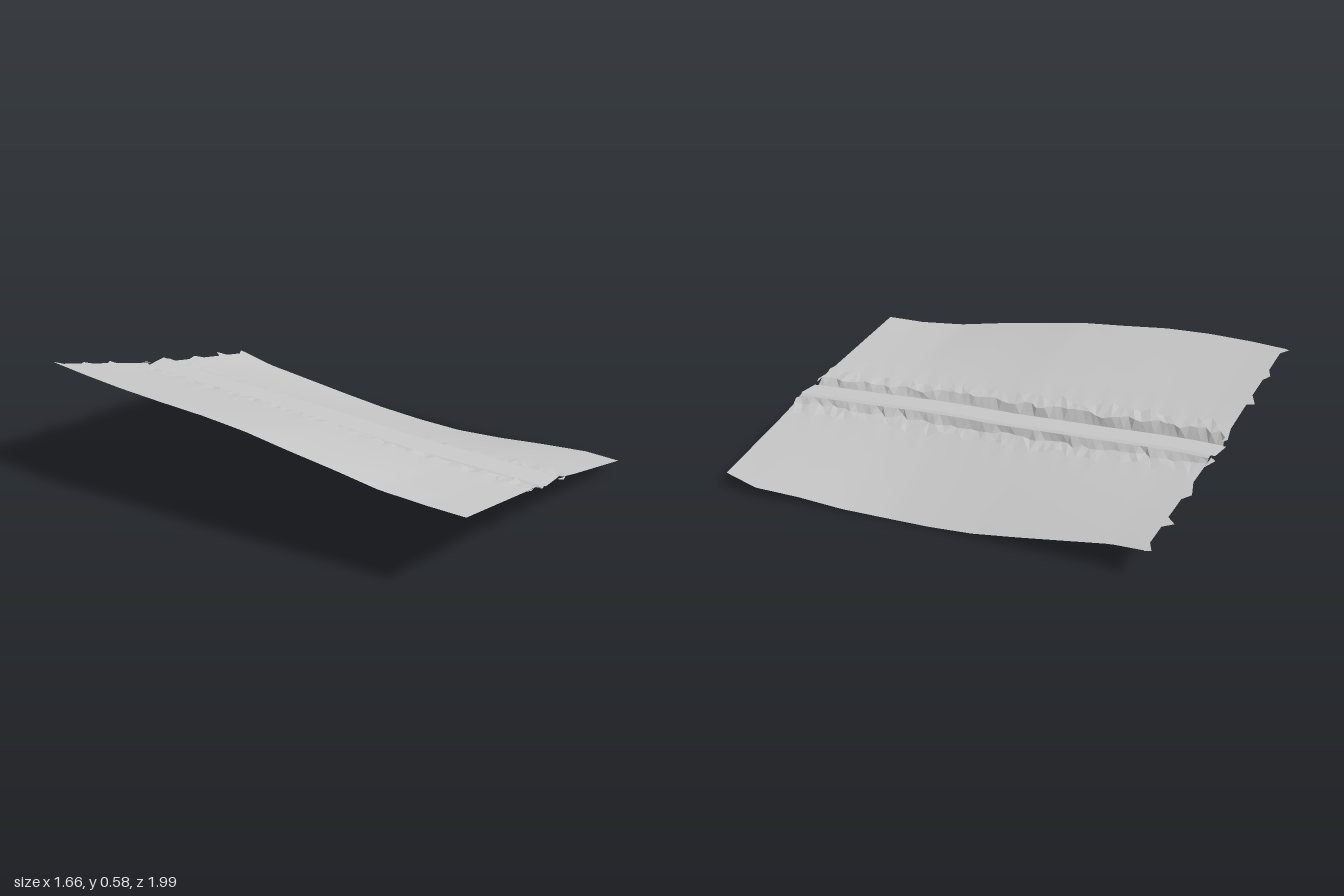
import * as THREE from 'three';

// Plan and height outlines sampled every 0.2 from back (z = -1) to front (z = 1)
const outline = {
  leftX: [-0.835, -0.815, -0.785, -0.74, -0.68, -0.63, -0.58, -0.525, -0.47, -0.41, -0.36],
  leftY: [0.58, 0.578, 0.573, 0.563, 0.545, 0.525, 0.49, 0.455, 0.415, 0.397, 0.394],
  rightX: [0.35, 0.37, 0.425, 0.48, 0.535, 0.585, 0.635, 0.7, 0.76, 0.825, 0.83],
  rightY: [0.13, 0.105, 0.075, 0.045, 0.018, 0.005, 0.002, 0.01, 0.03, 0.042, 0.066],
  roadX: [-0.24, -0.21, -0.16, -0.105, -0.055, -0.002, 0.037, 0.085, 0.145, 0.202, 0.26],
};
const HALF_ROAD = 0.05, BACK = -0.955, FRONT = 0.973, ROWS = 56;

function sample(name, z) {
  const t = THREE.MathUtils.clamp((z + 1) * 5, 0, 9.9999);
  const i = Math.floor(t);
  return THREE.MathUtils.lerp(outline[name][i], outline[name][i + 1], t - i);
}
const roadHeight = (z) => 0.2875 - 0.0385 * z;

// Natural hillside: straight from the road centre to either outer edge
function hillHeight(x, z) {
  const c = sample('roadX', z);
  const side = x < c ? 'left' : 'right';
  const t = (x - c) / (sample(side + 'X', z) - c);
  return THREE.MathUtils.lerp(roadHeight(z), sample(side + 'Y', z), t);
}

function seeded(seed) {
  return () => {
    seed = (seed * 16807) % 2147483647;
    return seed / 2147483647;
  };
}

// Skin a list of rows (back to front), each running from -x to +x
function skin(rows, flat) {
  const n = rows[0].length, index = [];
  for (let j = 0; j < rows.length - 1; j++) {
    for (let i = 0; i < n - 1; i++) {
      const a = j * n + i, b = a + n;
      index.push(a, b, a + 1, a + 1, b, b + 1);
    }
  }
  let g = new THREE.BufferGeometry();
  g.setAttribute('position', new THREE.Float32BufferAttribute(rows.flat(2), 3));
  g.setIndex(index);
  if (flat) g = g.toNonIndexed();
  g.computeVertexNormals();
  return g;
}

export function createModel() {
  const group = new THREE.Group();
  const grey = new THREE.MeshStandardMaterial({ color: 0xc8c8c8, side: THREE.DoubleSide });
  grey.name = 'plain grey';
  const add = (name, geometry) => {
    const mesh = new THREE.Mesh(geometry, grey);
    mesh.name = name;
    group.add(mesh);
  };
  const rowZ = Array.from({ length: ROWS + 1 }, (_, j) => BACK + ((FRONT - BACK) * j) / ROWS);

  // Hillsides and rough banks on both sides of the road
  for (const s of [-1, 1]) {
    const side = s < 0 ? 'left' : 'right';
    const rand = seeded(s < 0 ? 71 : 423);
    const slope = [], bank = [];
    rowZ.forEach((z, j) => {
      const edge = sample('roadX', z) + s * HALF_ROAD;
      const end = sample(side + 'X', z);
      const y = roadHeight(z);
      const toe = [edge + s * 0.016, y - 0.007, z];
      const mx = edge + s * (0.026 + 0.03 * rand());
      const mid = [mx, hillHeight(mx, z) + 0.008 * (rand() - 0.5), z];
      const ox = edge + s * (0.07 + 0.05 * rand());
      const outer = [ox, hillHeight(ox, z) + (j % 3 ? 0.004 : -0.004) * rand(), z];
      const b = [[edge, y, z], toe, mid, outer];
      const h = [outer];
      for (let i = 1; i <= 8; i++) {
        const x = THREE.MathUtils.lerp(ox, end, i / 8);
        h.push([x, hillHeight(x, z), z]);
      }
      bank.push(s < 0 ? b.reverse() : b);
      slope.push(s < 0 ? h.reverse() : h);
    });
    add(side + 'Hillside', skin(slope, false));
    add(side + 'Bank', skin(bank, true));
  }

  // Level road, running slightly past the hillside at both ends
  const road = [-0.975, ...rowZ, 0.98].map((z) =>
    [-1, 0, 1].map((k) => [sample('roadX', z) + k * HALF_ROAD, roadHeight(z), z]));
  add('road', skin(road, false));

  // Ragged end teeth: [start x, tip x, end x, tip z]
  const backTeeth = [
    [-0.832, -0.83, -0.8, -0.985], [-0.7, -0.67, -0.64, -0.977], [-0.55, -0.51, -0.495, -0.988],
    [-0.36, -0.3, -0.28, -0.973], [-0.19, -0.18, -0.13, -0.982], [-0.04, 0.025, 0.06, -0.986],
    [0.165, 0.19, 0.22, -1], [0.31, 0.348, 0.357, -0.985],
  ];
  const frontTeeth = [
    [0.06, 0.09, 0.12, 0.982], [0.13, 0.17, 0.2, 0.984], [0.3, 0.325, 0.37, 0.993],
  ];
  const points = [];
  const corner = (x, z) => points.push(x, hillHeight(x, z), z);
  for (const [a, tip, b, z] of backTeeth) {
    corner(a, BACK); corner(b, BACK); corner(tip, z);
  }
  for (const [a, tip, b, z] of frontTeeth) {
    corner(a, FRONT); corner(tip, z); corner(b, FRONT);
  }
  const teeth = new THREE.BufferGeometry();
  teeth.setAttribute('position', new THREE.Float32BufferAttribute(points, 3));
  // Keep every tooth facing upward
  const p = teeth.attributes.position;
  const v = (i) => new THREE.Vector3().fromBufferAttribute(p, i);
  for (let i = 0; i < p.count; i += 3) {
    const a = v(i), b = v(i + 1), c = v(i + 2);
    if (b.clone().sub(a).cross(c.clone().sub(a)).y < 0) {
      p.setXYZ(i + 1, c.x, c.y, c.z);
      p.setXYZ(i + 2, b.x, b.y, b.z);
    }
  }
  teeth.computeVertexNormals();
  add('raggedEnds', teeth);
  return group;
}
